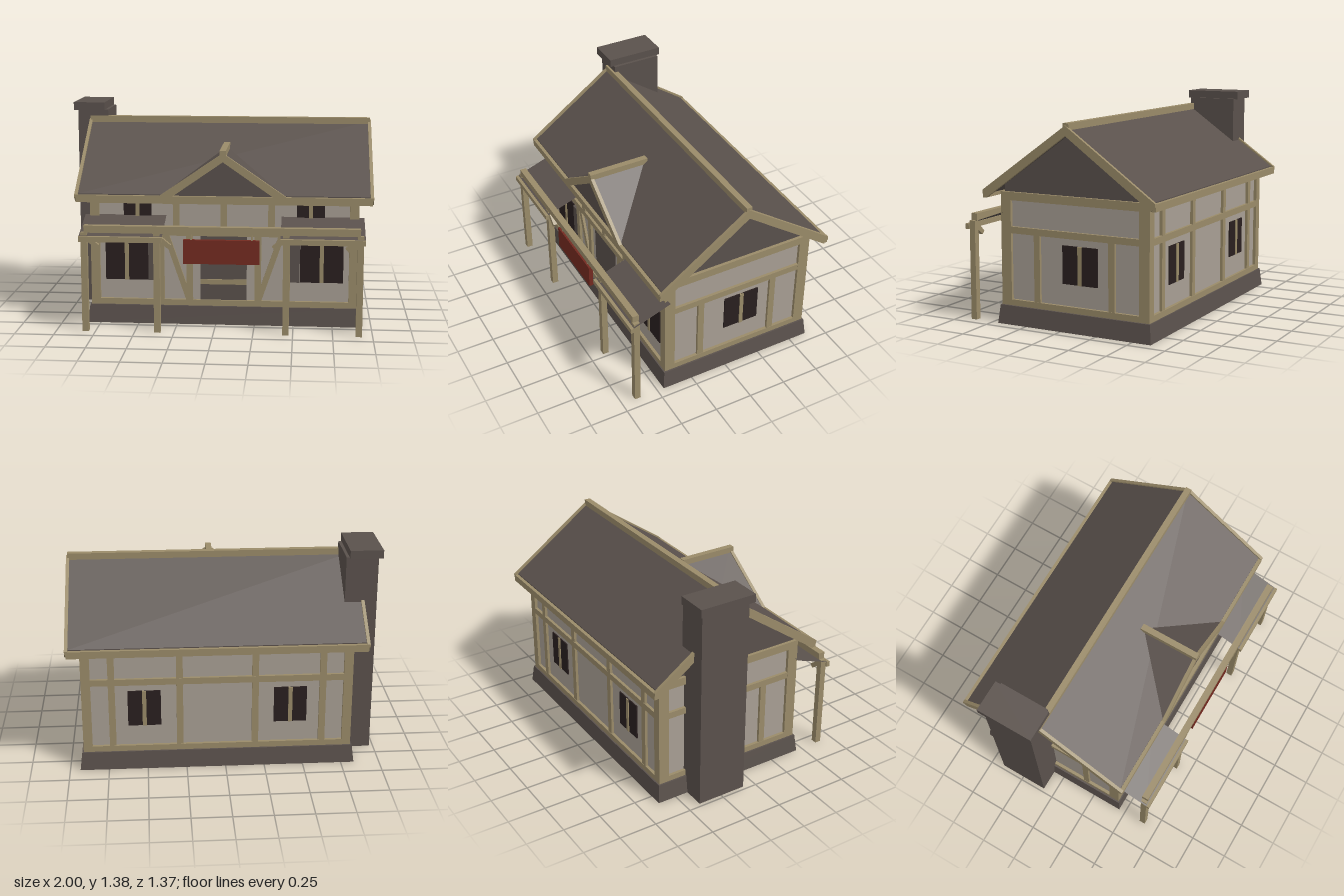
import * as THREE from 'three';

const mat = (name, color, extra = {}) => Object.assign(new THREE.MeshStandardMaterial({ color, ...extra }), { name });

export function createModel() {
  const wood = mat('timber', 0x9a8b69);
  const plaster = mat('plaster', 0xa89f94);
  const stone = mat('greyStone', 0x5a514c, { side: THREE.DoubleSide });
  const glass = mat('darkGlass', 0x291f1f);
  const red = mat('redPaint', 0x742a20);

  const root = new THREE.Group();
  root.name = 'timberHouse';
  const house = new THREE.Group();
  house.name = 'house';
  house.position.set(0.05, 0, -0.085); // the chimney and porch shift the centre
  root.add(house);

  const add = (name, geo, m, parent = house) => {
    const mesh = new THREE.Mesh(geo, m);
    mesh.name = name;
    parent.add(mesh);
    return mesh;
  };
  // box from its limits
  const box = (name, m, x0, x1, y0, y1, z0, z1, parent) => {
    const geo = new THREE.BoxGeometry(x1 - x0, y1 - y0, z1 - z0);
    geo.translate((x0 + x1) / 2, (y0 + y1) / 2, (z0 + z1) / 2);
    return add(name, geo, m, parent);
  };
  // plank between two points in the xy plane
  const plank = (name, m, a, b, w, z0, z1, parent) => {
    const dx = b[0] - a[0], dy = b[1] - a[1];
    const geo = new THREE.BoxGeometry(Math.hypot(dx, dy), w, z1 - z0);
    geo.rotateZ(Math.atan2(dy, dx));
    geo.translate((a[0] + b[0]) / 2, (a[1] + b[1]) / 2, (z0 + z1) / 2);
    return add(name, geo, m, parent);
  };
  // outline extruded along z, or along x when its points are (z, y)
  const prism = (name, m, pts, from, to, alongX) => {
    const shape = new THREE.Shape(pts.map(p => new THREE.Vector2(...p)));
    const geo = new THREE.ExtrudeGeometry(shape, { depth: to - from, bevelEnabled: false });
    if (alongX) geo.rotateY(-Math.PI / 2).translate(to, 0, 0);
    else geo.translate(0, 0, from);
    return add(name, geo, m);
  };

  // foundation: a hollow skirt tapering upwards, open below
  const base = new THREE.BoxGeometry(1.77, 0.12, 1.08);
  base.translate(0, 0.06, 0);
  const p = base.attributes.position;
  for (let i = 0; i < p.count; i++) {
    if (p.getY(i) > 0.06) p.setXYZ(i, p.getX(i) * 0.983, 0.119, p.getZ(i) * 0.978);
  }
  base.clearGroups();
  base.setIndex([...base.index.array].filter((v, i) => i < 18 || i >= 24));
  base.computeVertexNormals();
  add('foundation', base, stone);

  // walls and gable infill
  box('walls', plaster, -0.84, 0.84, 0.12, 0.84, -0.5, 0.5);
  prism('gables', stone, [[-0.5, 0.84], [0.5, 0.84], [0.5, 0.885], [0, 1.24], [-0.5, 0.885]], -0.84, 0.84, true);

  // timber frame of one wall, built facing +z and turned into place
  const wall = (name, angle, half, dist, corner) => {
    const g = new THREE.Group();
    g.name = name;
    g.rotation.y = angle;
    house.add(g);
    const out = dist + 0.02;
    box('topBeam', wood, -half, half, 0.788, 0.84, dist, out, g);
    box('middleBeam', wood, -half, half, 0.58, 0.622, dist, out - 0.001, g);
    box('bottomBeam', wood, -half, half, 0.12, 0.158, dist, out, g);
    for (const s of [-1, 1]) {
      const e = [s * half, s * (half - corner)].sort((a, b) => a - b);
      box('cornerPost', wood, e[0], e[1], 0.12, 0.84, dist, out, g);
    }
    return {
      g,
      post: (u, y0 = 0.155, y1 = 0.79, w = 0.042) => box('post', wood, u - w / 2, u + w / 2, y0, y1, dist, out - 0.002, g),
      window: (u, w, y0, y1) => {
        box('windowPane', glass, u - w / 2, u + w / 2, y0, y1, dist, dist + 0.008, g);
        box('windowMullion', wood, u - 0.013, u + 0.013, y0, y1, dist, dist + 0.014, g);
      },
    };
  };

  // front wall with door, braces and shuttered windows
  const front = wall('frontWall', 0, 0.86, 0.5, 0.058);
  front.post(0, 0.61);
  for (const s of [-1, 1]) {
    front.post(s * 0.305, 0.61);
    front.post(s * 0.22, 0.155, 0.59);
    front.post(s * 0.405, 0.155, 0.59);
    front.window(s * 0.628, 0.276, 0.283, 0.54);
    front.window(s * 0.555, 0.178, 0.65, 0.788);
    box('shutter', stone, s * 0.455 - 0.033, s * 0.455 + 0.033, 0.283, 0.54, 0.5, 0.515, front.g);
    plank('diagonalBrace', wood, [s * 0.37, 0.585], [s * 0.225, 0.16], 0.036, 0.5, 0.517, front.g);
  }
  box('door', stone, -0.15, 0.148, 0.158, 0.58, 0.5, 0.508, front.g);
  box('doorRail', wood, -0.15, 0.148, 0.262, 0.295, 0.5, 0.515, front.g);

  // back wall
  const back = wall('backWall', Math.PI, 0.86, 0.5, 0.058);
  for (const s of [-1, 1]) {
    back.post(s * 0.24);
    back.post(s * 0.67);
    back.window(s * 0.465, 0.21, 0.295, 0.535);
  }

  // side walls
  const right = wall('leftSideWall', Math.PI / 2, 0.519, 0.84, 0.07);
  const left = wall('rightSideWall', -Math.PI / 2, 0.519, 0.84, 0.07);
  for (const s of [-1, 1]) {
    right.post(s * 0.262, 0.155, 0.59);
    left.post(s * 0.262, 0.155, 0.59);
  }
  right.window(0.038, 0.245, 0.295, 0.535);

  // main roof with rakes, ridge and eave boards
  prism('roof', stone, [[0, 1.264], [-0.576, 0.858], [-0.576, 0.83], [0, 1.236], [0.576, 0.83], [0.576, 0.858]], -0.925, 0.925, true);
  const rake = [[0, 1.278], [-0.598, 0.855], [-0.598, 0.835], [-0.57, 0.808], [0, 1.217],
    [0.57, 0.808], [0.598, 0.835], [0.598, 0.855]];
  prism('rakeBoard', wood, rake, 0.925, 0.946, true);
  prism('rakeBoard', wood, rake, -0.946, -0.925, true);
  box('ridgeBeam', wood, -0.938, 0.938, 1.25, 1.292, -0.02, 0.02);
  for (const s of [-1, 1]) {
    box('eaveBoard', wood, -0.938, 0.938, 0.806, 0.852, s * 0.587 - 0.012, s * 0.587 + 0.012);
  }

  // front dormer
  prism('dormer', stone, [[-0.4, 0.85], [0.4, 0.85], [0, 1.118]], 0.19, 0.577);
  prism('dormerRake', wood, [[-0.405, 0.85], [-0.32, 0.85], [0, 1.072], [0.32, 0.85], [0.405, 0.85], [0, 1.128]], 0.577, 0.599);
  box('dormerRidge', wood, -0.02, 0.02, 1.106, 1.145, 0.195, 0.6);

  // chimney
  box('chimneyShaft', stone, -1.025, -0.82, 0, 1.333, -0.327, 0.005);
  box('chimneyCap', stone, -1.05, -0.84, 1.33, 1.383, -0.35, 0.03);

  // porch
  box('porchBeam', wood, -0.863, 0.863, 0.64, 0.685, 0.701, 0.744);
  for (const s of [-1, 1]) {
    for (const x of [0.405, 0.863]) {
      box('porchPost', wood, s * x - 0.02, s * x + 0.02, 0, 0.64, 0.705, 0.745);
    }
    plank('innerKneeBrace', wood, [s * 0.385, 0.605], [s * 0.325, 0.555], 0.03, 0.712, 0.738);
    plank('outerKneeBrace', wood, [s * 0.84, 0.6], [s * 0.78, 0.55], 0.03, 0.712, 0.738);
    const mid = s * 0.631, w = 0.262;
    box('porchPurlin', wood, mid - w, mid + w, 0.586, 0.62, 0.745, 0.77);
    // sloping porch roof sheet
    const sheet = new THREE.PlaneGeometry(2 * w, Math.hypot(0.25, 0.09));
    sheet.rotateX(-Math.PI / 2 + Math.atan2(0.09, 0.25));
    sheet.translate(mid, 0.666, 0.625);
    add('porchRoof', sheet, stone);
    box('signHanger', wood, s * 0.19 - 0.006, s * 0.19 + 0.006, 0.6, 0.64, 0.72, 0.73);
  }
  box('signBoard', red, -0.238, 0.238, 0.45, 0.602, 0.711, 0.739);

  return root;
}
